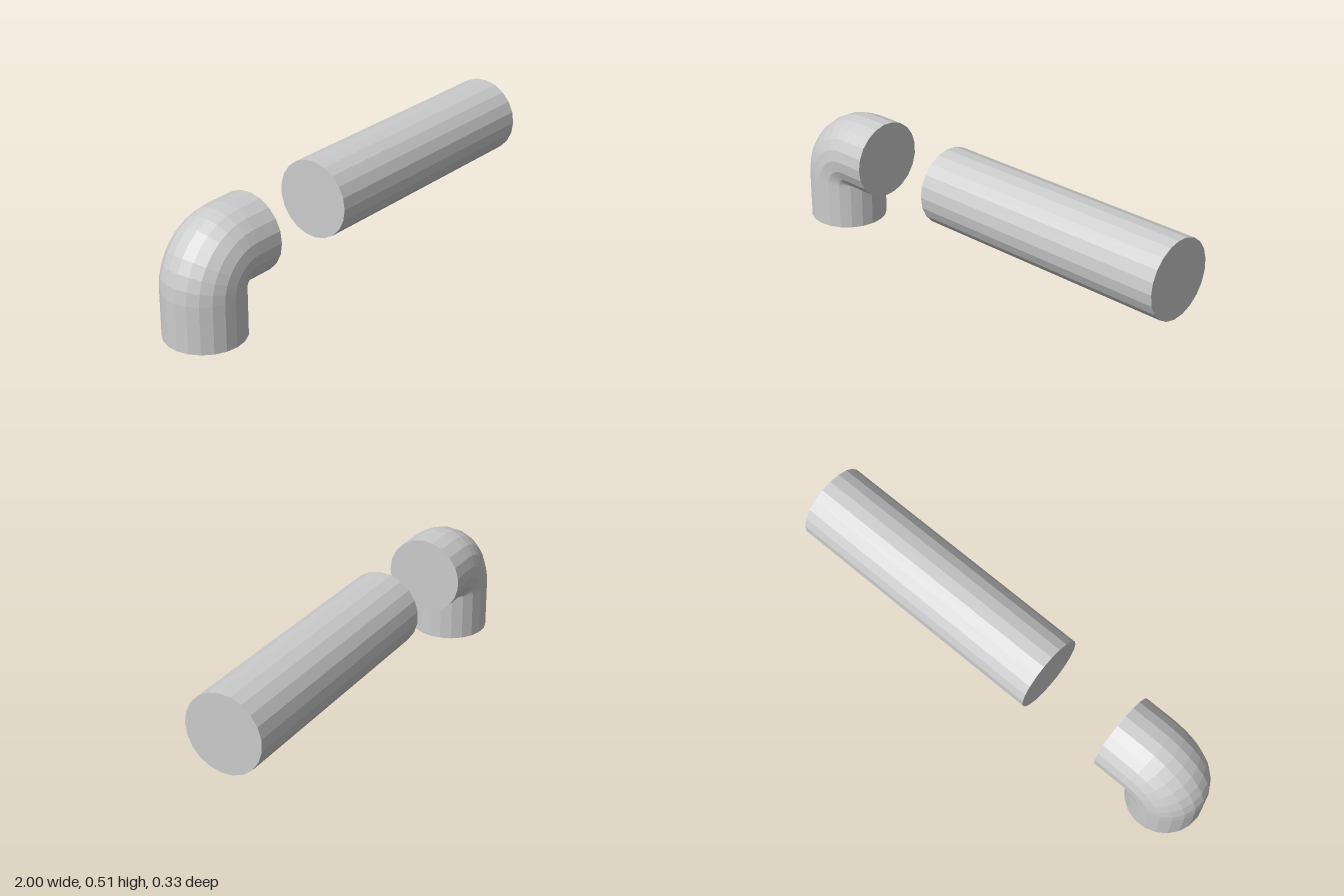
import * as THREE from 'three';

const SIDES = 21;
const R = 0.168;      // pipe radius
const AXIS_Y = 0.338; // height of the horizontal axis
const AXIS_X = -0.832; // axis of the upright leg
const BEND = 0.135;   // bend radius of the elbow axis
const BEND_STEPS = 8;

const material = new THREE.MeshStandardMaterial({ color: 0xcccccc, flatShading: true });

// Closed tube through rings; each ring is { x, y, a }, a = turn from upright (0) to horizontal (PI/2)
function sweep(rings) {
  const pos = [], idx = [];
  for (const { x, y, a } of rings) {
    for (let i = 0; i < SIDES; i++) {
      const t = (i / SIDES) * Math.PI * 2;
      const out = R * Math.sin(t); // towards the outside of the bend
      pos.push(x - out * Math.cos(a), y + out * Math.sin(a), R * Math.cos(t));
    }
  }
  const last = (rings.length - 1) * SIDES;
  for (let r = 0; r < last; r += SIDES) {
    for (let i = 0; i < SIDES; i++) {
      const j = (i + 1) % SIDES;
      idx.push(r + i, r + SIDES + j, r + j, r + i, r + SIDES + i, r + SIDES + j);
    }
  }
  // flat end caps
  for (let i = 1; i < SIDES - 1; i++) {
    idx.push(0, i, i + 1, last, last + i + 1, last + i);
  }
  const g = new THREE.BufferGeometry();
  g.setAttribute('position', new THREE.Float32BufferAttribute(pos, 3));
  g.setIndex(idx);
  g.computeVertexNormals();
  return g;
}

export function createModel() {
  const group = new THREE.Group();
  const add = (name, rings) => {
    const mesh = new THREE.Mesh(sweep(rings), material);
    mesh.name = name;
    group.add(mesh);
  };
  const H = Math.PI / 2;

  // Elbow: upright leg, quarter bend, short horizontal stub
  const cx = AXIS_X + BEND, cy = AXIS_Y - BEND;
  const elbow = [{ x: AXIS_X, y: 0, a: 0 }];
  for (let k = 0; k <= BEND_STEPS; k++) {
    const a = (k / BEND_STEPS) * H;
    elbow.push({ x: cx - BEND * Math.cos(a), y: cy + BEND * Math.sin(a), a });
  }
  elbow.push({ x: -0.57, y: AXIS_Y, a: H });
  add('elbowPipe', elbow);

  // Separate straight pipe
  add('straightPipe', [
    { x: -0.195, y: AXIS_Y, a: H },
    { x: 1, y: AXIS_Y, a: H },
  ]);
  return group;
}
